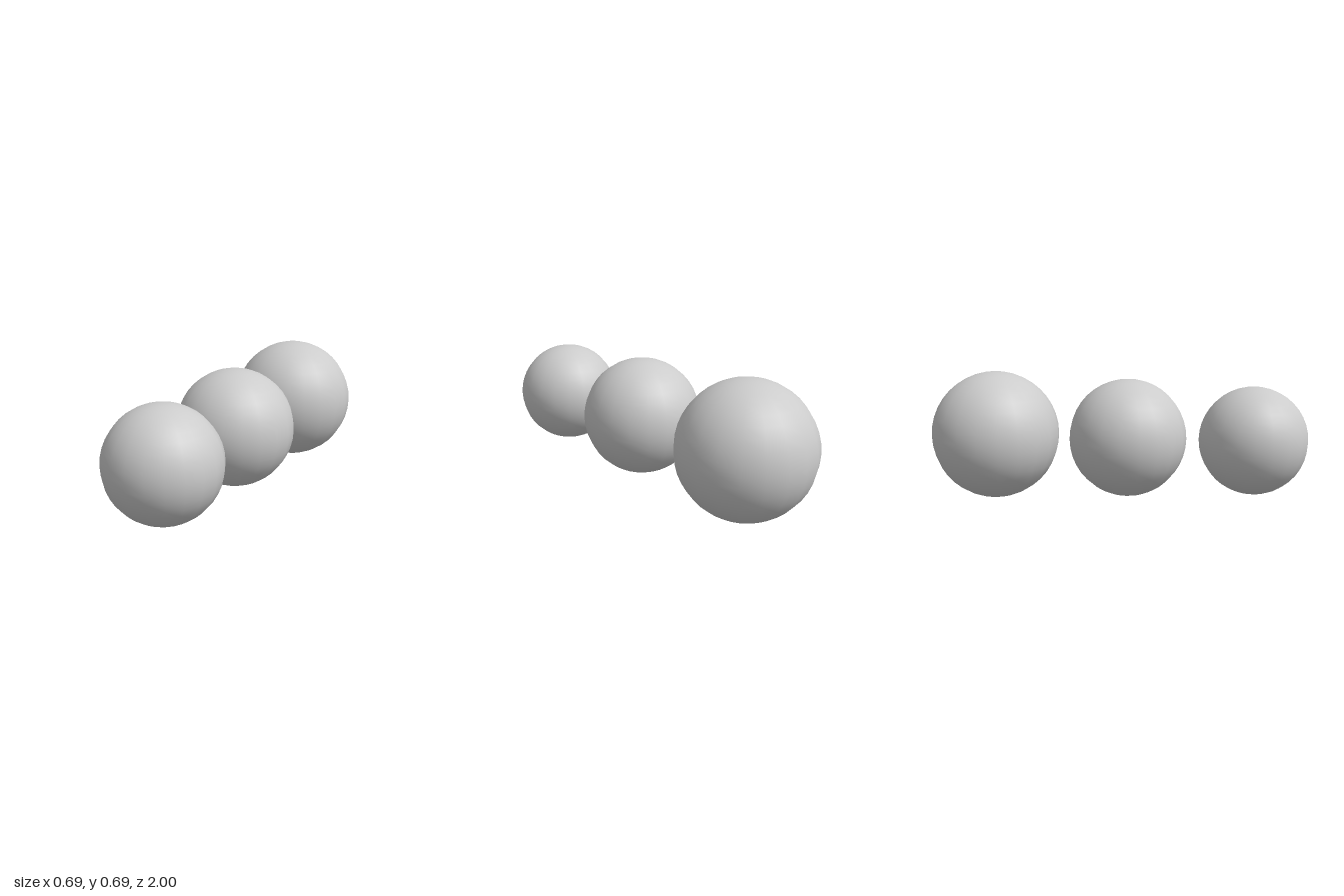
import * as THREE from 'three';

// Three balls in a row, growing from front to back, with centres level
const BALLS = [
  { name: 'frontBall', radius: 0.28, z: 0.72 },
  { name: 'middleBall', radius: 0.311, z: 0.065 },
  { name: 'backBall', radius: 0.343, z: -0.657 },
];
const CENTRE_HEIGHT = 0.343;

export function createModel() {
  const model = new THREE.Group();
  model.name = 'ballRow';
  const material = new THREE.MeshStandardMaterial({ color: 0xcccccc });

  for (const { name, radius, z } of BALLS) {
    const ball = new THREE.Mesh(new THREE.SphereGeometry(radius, 20, 20), material);
    ball.name = name;
    ball.position.set(0, CENTRE_HEIGHT, z);
    model.add(ball);
  }
  return model;
}
